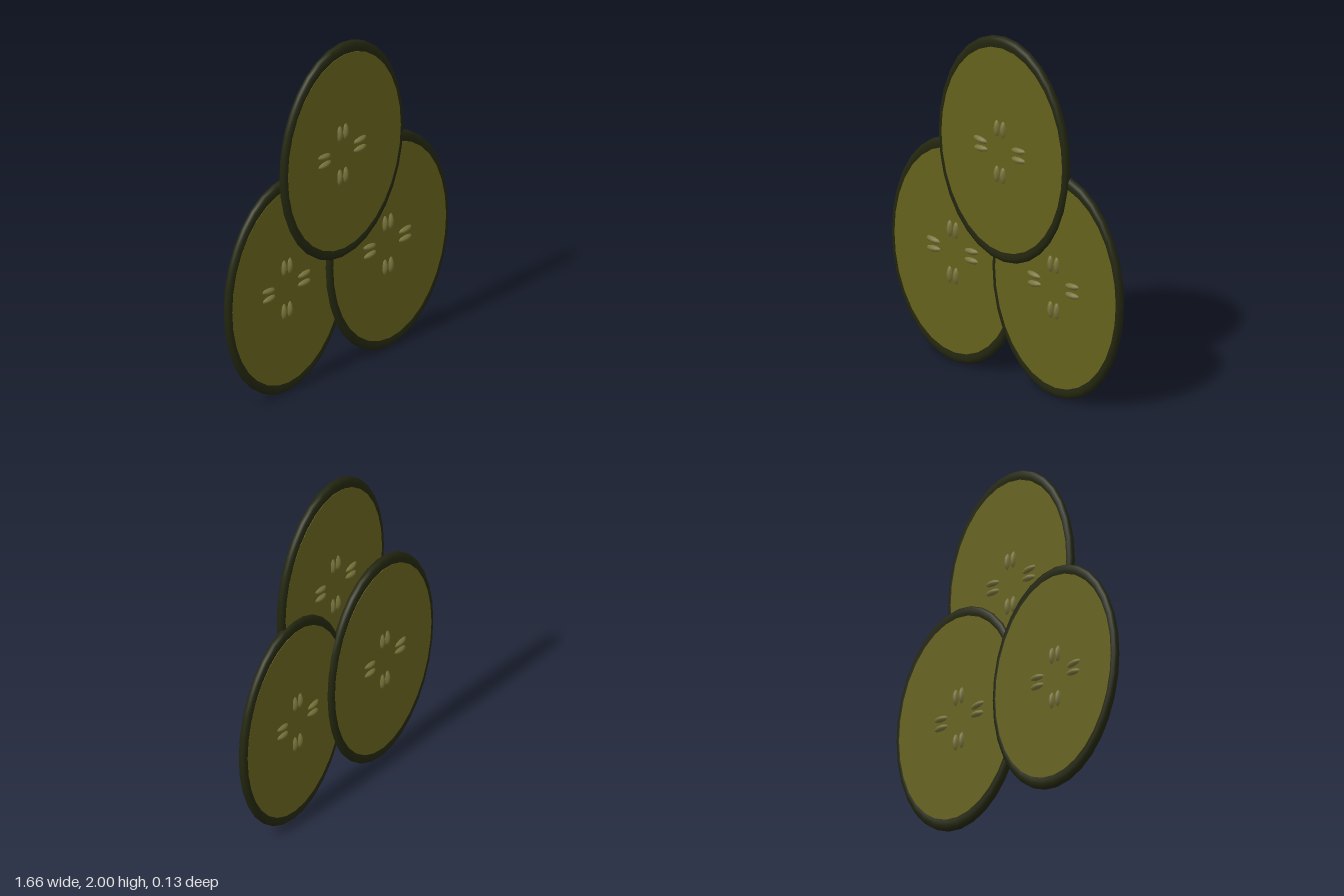
import * as THREE from 'three';

const skinMat = new THREE.MeshStandardMaterial({ color: 0x23260f });
const fleshMat = new THREE.MeshStandardMaterial({ color: 0x65611c });
const seedMat = new THREE.MeshStandardMaterial({ color: 0x77733a });

const RX = 0.46, RY = 0.65, SIDES = 32;

// Rounded skin ring: closed profile (radius, depth), spun and stretched to an oval
const profile = [
  [0.89, -0.019], [0.93, -0.0235], [0.96, -0.0245], [0.985, -0.019], [1, -0.008],
  [1, 0.008], [0.985, 0.019], [0.96, 0.0245], [0.93, 0.0235], [0.89, 0.019],
].map(([r, d]) => new THREE.Vector2(r, d));
const skinGeo = new THREE.LatheGeometry(profile, SIDES).rotateX(Math.PI / 2).scale(RX, RY, 1);

// Oval disc of flesh with a face on both sides
const fleshGeo = new THREE.CylinderGeometry(1, 1, 0.048, SIDES).rotateX(Math.PI / 2).scale(0.43, 0.59, 1);

// Long seed running through the slice, so it shows on both faces
const seedGeo = new THREE.SphereGeometry(1, 16, 12).scale(0.06, 0.023, 0.042);

// Seeds in four pairs: x, y, turn
const seeds = [
  [-0.036, 0.12, Math.PI / 2], [0.009, 0.12, Math.PI / 2],
  [-0.036, -0.145, Math.PI / 2], [0.009, -0.145, Math.PI / 2],
  [-0.153, 0.024, -0.12], [-0.15, -0.026, 0.09],
  [0.118, 0.027, 0.09], [0.118, -0.026, 0.02],
];

function makeSlice(name, x, y, z) {
  const slice = new THREE.Group();
  slice.name = name;
  slice.position.set(x, y, z);
  const add = (part, geo, mat) => {
    const mesh = new THREE.Mesh(geo, mat);
    mesh.name = part;
    slice.add(mesh);
    return mesh;
  };
  add('skin', skinGeo, skinMat);
  add('flesh', fleshGeo, fleshMat);
  for (const [sx, sy, turn] of seeds) {
    const seed = add('seed', seedGeo, seedMat);
    seed.position.set(sx, sy, 0);
    seed.rotation.z = turn;
  }
  return slice;
}

export function createModel() {
  const model = new THREE.Group();
  model.name = 'cucumberSlices';
  model.add(
    makeSlice('topSlice', 0.005, 1.35, 0.022),
    makeSlice('rightSlice', -0.372, 0.655, -0.026),
    makeSlice('leftSlice', 0.37, 0.655, 0.002),
  );
  return model;
}
